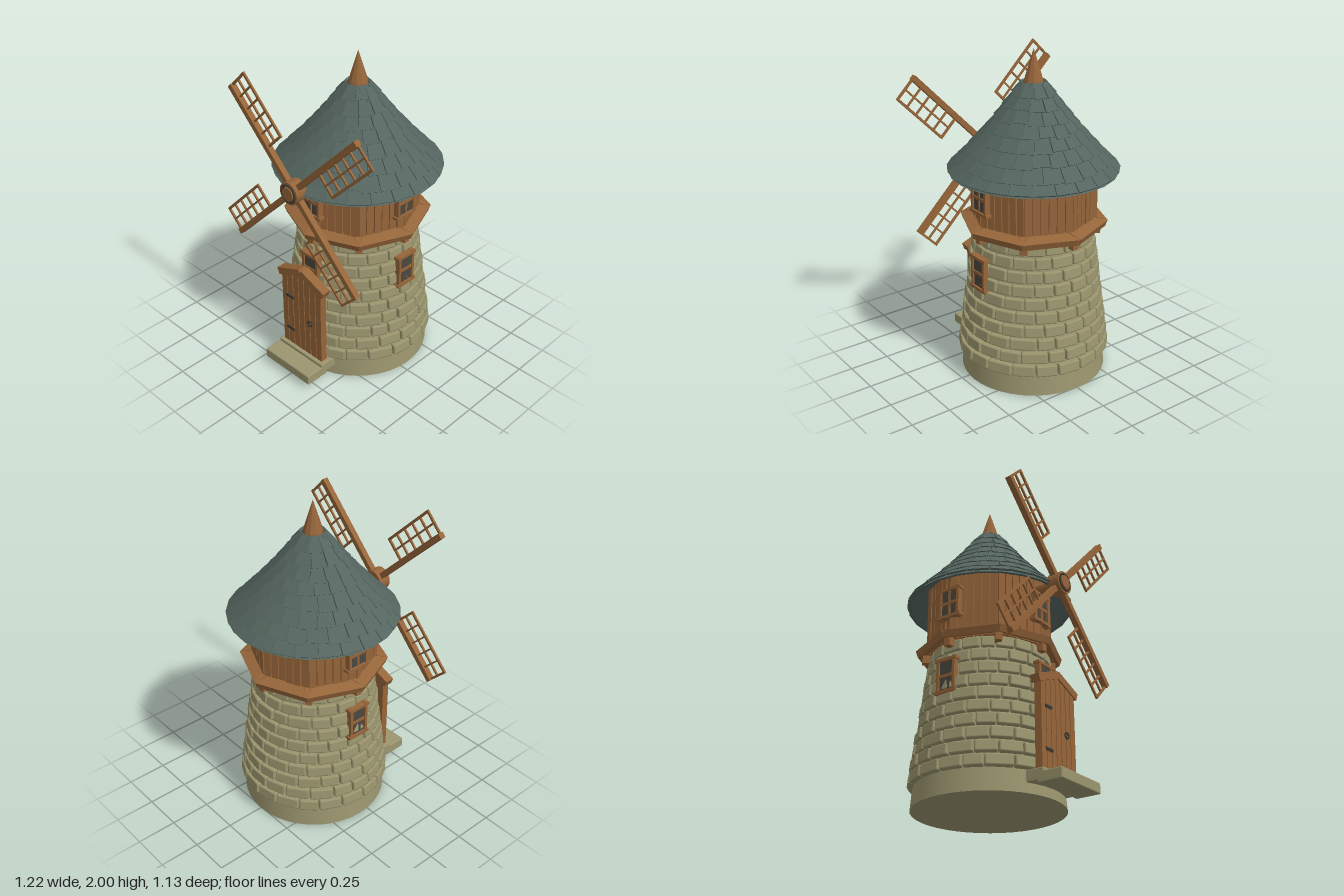
import * as THREE from 'three';
import { mergeGeometries } from 'three/addons/utils/BufferGeometryUtils.js';
import { RoundedBoxGeometry } from 'three/addons/geometries/RoundedBoxGeometry.js';

const mat = (name, color, extra = {}) => {
  const m = new THREE.MeshStandardMaterial({ color, ...extra });
  m.name = name;
  return m;
};

export function createModel() {
  const stone = mat('stone', 0x9c966f);
  const wood = mat('wood', 0x96653a);
  const slate = mat('slate', 0x55655f, { side: THREE.DoubleSide });
  const glass = mat('window pane', 0x4b473f);
  const iron = mat('iron', 0x3b3a35);

  let seed = 7;
  const rand = () => (seed = (seed * 16807) % 2147483647) / 2147483647;

  const model = new THREE.Group();
  model.name = 'windmill';
  const tower = new THREE.Group();
  tower.name = 'tower';
  tower.position.z = -0.06;
  model.add(tower);

  const add = (parent, name, geo, material) => {
    const m = new THREE.Mesh(geo, material);
    m.name = name;
    parent.add(m);
    return m;
  };
  const box = (w, h, d, x = 0, y = 0, z = 0, rz = 0) =>
    new THREE.BoxGeometry(w, h, d).rotateZ(rz).translate(x, y, z);
  const flat = (geo) => {
    const g = geo.index ? geo.toNonIndexed() : geo;
    g.computeVertexNormals();
    return g;
  };
  // places a z-facing piece on a ring around the tower axis
  const onRing = (geo, angle, radius, y, tilt = 0) =>
    geo.rotateX(tilt).translate(0, y, radius).rotateY(angle);

  // plinth and masonry core
  add(tower, 'plinth', new THREE.CylinderGeometry(0.437, 0.448, 0.13, 40).translate(0, 0.065, 0), stone);
  add(tower, 'stoneCore', new THREE.CylinderGeometry(0.343, 0.436, 0.83, 40).translate(0, 0.545, 0), stone);

  // staggered courses of bricks
  const bricks = [];
  const courses = 10, pitch = 0.082;
  for (let r = 0; r < courses; r++) {
    const outer = 0.462 - 0.0107 * r;
    const count = 20;
    const cuts = [];
    for (let i = 0; i < count; i++) {
      cuts.push(((i + (r % 2) / 2 + (rand() - 0.5) * 0.25) / count) * Math.PI * 2);
    }
    for (let i = 0; i < count; i++) {
      const a = cuts[i];
      const b = i + 1 < count ? cuts[i + 1] : cuts[0] + Math.PI * 2;
      const w = (b - a) * outer - 0.01;
      const proud = (rand() - 0.5) * 0.008;
      bricks.push(onRing(new RoundedBoxGeometry(w, 0.07, 0.06, 1, 0.01),
        (a + b) / 2, outer - 0.03 + proud, 0.13 + pitch * (r + 0.47), -0.1));
    }
  }
  add(tower, 'bricks', mergeGeometries(bricks), stone);

  // eight-sided timber storey
  const eighth = Math.PI / 4;
  add(tower, 'timberCore', flat(new THREE.CylinderGeometry(0.365, 0.365, 0.46, 8).translate(0, 1.17, 0)), wood);
  const planks = [], beams = [], brackets = [];
  for (let s = 0; s < 8; s++) {
    const a = (s + 0.5) * eighth;
    for (let i = 0; i < 6; i++) {
      const w = 0.29 / 6;
      planks.push(box(w - 0.006, 0.45, 0.02, (i - 2.5) * w, 1.175, 0.34 + rand() * 0.006).rotateY(a));
    }
    beams.push(onRing(box(0.335, 0.042, 0.075), a, 0.372, 0.972, 0.35));
    brackets.push(box(0.04, 0.05, 0.08, 0, 0.925, 0.365).rotateY(s * eighth));
  }
  add(tower, 'planks', mergeGeometries(planks), wood);
  add(tower, 'skirtBeams', mergeGeometries(beams), wood);
  add(tower, 'brackets', mergeGeometries(brackets), wood);

  // windows on the front and both sides, on two storeys
  const addWindow = (name, angle, y, w, h, radius, mullion) => {
    const g = new THREE.Group();
    g.name = name;
    g.rotation.y = angle;
    tower.add(g);
    const bars = [-1, 1].map((s) => box(0.018, h, 0.034, s * (w / 2 - 0.013), y, radius));
    for (const s of [-1, 0, 1]) {
      bars.push(box(s ? w + 0.012 : w - 0.02, 0.018, s ? 0.04 : 0.026, 0, y + s * (h / 2 - 0.012), radius));
    }
    if (mullion) bars.push(box(0.014, h, 0.026, 0, y, radius));
    add(g, 'windowFrame', mergeGeometries(bars), wood);
    add(g, 'windowPane', box(w - 0.03, h - 0.02, 0.008, 0, y, radius + 0.003), glass);
  };
  for (const a of [0, Math.PI / 2, -Math.PI / 2]) {
    addWindow('lowerWindow', a, 0.71, 0.14, 0.22, 0.395, false);
    addWindow('upperWindow', a, 1.18, 0.155, 0.2, 0.38, true);
  }

  // hollow conical roof
  const eaveY = 1.29, topY = 1.81;
  const roofR = (t) => 0.5 + (0.065 - 0.5) * t - 0.02 * Math.sin(Math.PI * t);
  const profile = [[0.3, 1.49], [0.485, 1.285], [0.505, 1.285]].map(([x, y]) => new THREE.Vector2(x, y));
  for (let i = 0; i <= 6; i++) {
    profile.push(new THREE.Vector2(roofR(i / 6), eaveY + (topY - eaveY) * (i / 6)));
  }
  add(tower, 'roof', flat(new THREE.LatheGeometry(profile, 24)), slate);

  // overlapping slates: tapered slabs with uneven lower edges
  const slates = [];
  const rows = 8;
  const addSlate = (angle, t0, t1, bottomW, topW) => {
    const r0 = roofR(t0), r1 = roofR(t1);
    const y0 = eaveY + (topY - eaveY) * t0, y1 = eaveY + (topY - eaveY) * t1;
    const g = new THREE.BoxGeometry(1, Math.hypot(r0 - r1, y1 - y0), 0.012);
    const p = g.attributes.position;
    for (let i = 0; i < p.count; i++) {
      const low = p.getY(i) < 0;
      p.setX(i, p.getX(i) * (low ? bottomW : topW));
      if (low) p.setZ(i, p.getZ(i) + 0.007);
    }
    slates.push(onRing(flat(g), angle, (r0 + r1) / 2 + 0.001, (y0 + y1) / 2 + 0.001, -Math.atan2(r0 - r1, y1 - y0)));
  };
  for (let r = 0; r < rows; r++) {
    const count = [24, 24, 24, 20, 18, 16, 12, 10][r];
    for (let i = 0; i < count; i++) {
      const t0 = Math.max(0.005, r / rows - (r ? rand() * 0.035 : 0));
      const t1 = Math.min(1, (r + 1.1) / rows);
      const arc = (2 * Math.tan(Math.PI / count)) * 0.97;
      addSlate(((i + (r % 2) / 2) / count) * Math.PI * 2, t0, t1, roofR(t0) * arc, roofR(t1) * arc);
    }
  }
  // pointed slates around the peak
  for (let i = 0; i < 8; i++) addSlate((i + 0.5) * eighth, 0.84, 1, 0.004, 0.06);
  add(tower, 'roofSlates', mergeGeometries(slates), slate);

  // spire
  const spire = [[0, 1.795], [0.06, 1.8], [0.058, 1.815], [0.035, 1.89], [0.016, 1.95], [0, 2]];
  add(tower, 'spire', flat(new THREE.LatheGeometry(spire.map(([x, y]) => new THREE.Vector2(x, y)), 10)), wood);

  // plank door with gabled hood
  const door = new THREE.Group();
  door.name = 'door';
  model.add(door);
  const boards = [box(0.33, 0.53, 0.035, 0, 0.395, 0.4)];
  for (let i = 0; i < 7; i++) {
    const x = (i - 3) * 0.0485;
    const top = 0.715 - Math.abs(x) * 0.42;
    boards.push(box(0.043, top - 0.13, 0.045, x, (top + 0.13) / 2, 0.404));
  }
  add(door, 'doorBoards', mergeGeometries(boards), wood);
  const hood = [-1, 1].map((s) => box(0.205, 0.045, 0.06, s * 0.096, 0.687, 0.405, -s * 0.38));
  add(door, 'doorHood', mergeGeometries(hood), wood);
  const hinges = [0.25, 0.5].map((y) => box(0.065, 0.016, 0.008, -0.1, y, 0.43));
  add(door, 'hinges', mergeGeometries(hinges), iron);
  add(door, 'handle', new THREE.TorusGeometry(0.017, 0.005, 6, 16).translate(0.075, 0.38, 0.432), iron);

  // doorstep
  add(model, 'lowerStep', new RoundedBoxGeometry(0.385, 0.065, 0.16, 1, 0.008).translate(0, 0.077, 0.486), stone);
  add(model, 'upperStep', new RoundedBoxGeometry(0.385, 0.07, 0.12, 1, 0.008).translate(0, 0.095, 0.39), stone);

  // hub and four lattice sails
  const sails = new THREE.Group();
  sails.name = 'sails';
  sails.position.set(0, 1.305, 0.455);
  model.add(sails);
  const axial = (r, d, z, n = 20) => new THREE.CylinderGeometry(r, r, d, n).rotateX(Math.PI / 2).translate(0, 0, z);
  add(sails, 'shaft', axial(0.04, 0.25, -0.14), wood);
  add(sails, 'hub', axial(0.07, 0.08, 0.002), wood);
  add(sails, 'hubRing', new THREE.TorusGeometry(0.052, 0.007, 6, 24).translate(0, 0, 0.043), iron);
  add(sails, 'hubCap', axial(0.042, 0.012, 0.046), wood);

  const inner = 0.28, outer = 0.7, width = 0.155;
  const mid = (inner + outer) / 2, len = outer - inner;
  for (let k = 0; k < 4; k++) {
    const sail = new THREE.Group();
    sail.name = 'sail';
    sail.rotation.z = Math.PI / 4 + (k * Math.PI) / 2;
    sails.add(sail);
    add(sail, 'sailArm', box(0.7, 0.034, 0.036, 0.35, 0, 0), wood);
    const lattice = [box(len, 0.015, 0.012, mid, -width, 0), box(len, 0.01, 0.012, mid, -width / 2 - 0.004, 0)];
    for (let i = 0; i <= 5; i++) {
      lattice.push(box(i % 5 ? 0.01 : 0.014, width, 0.012, inner + 0.007 + ((len - 0.014) * i) / 5, -width / 2, 0));
    }
    add(sail, 'sailLattice', mergeGeometries(lattice), wood);
  }
  return model;
}
